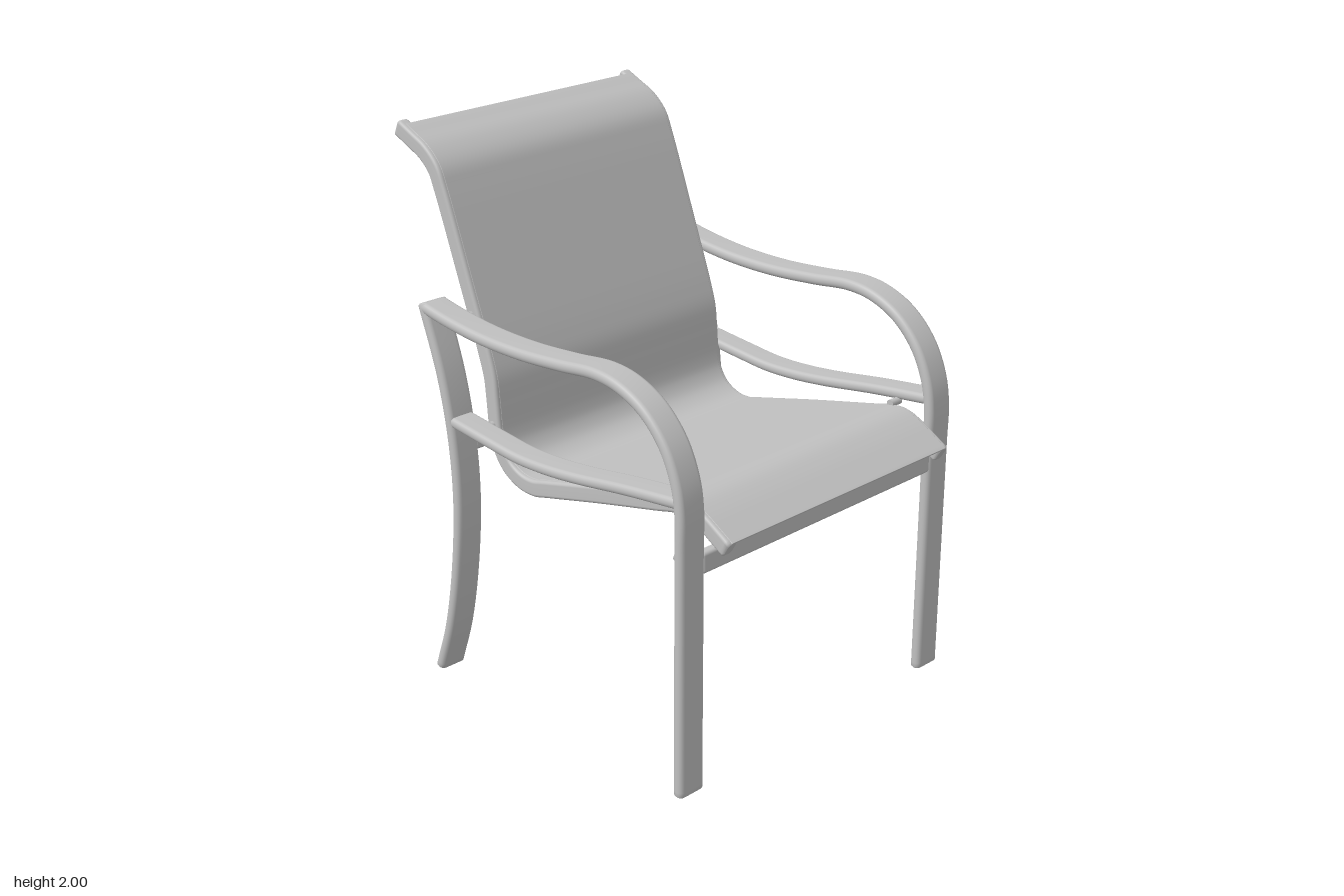
import * as THREE from 'three';
import { RoundedBoxGeometry } from 'three/addons/geometries/RoundedBoxGeometry.js';

// Smooth curve in the side plane from [z, y] points
const sideCurve = (pts) =>
  new THREE.CatmullRomCurve3(pts.map(([z, y]) => new THREE.Vector3(0, y, z)), false, 'centripetal');

// Rounded rectangle outline: width along x, thickness along the path normal
function section(width, thick, radius) {
  const ring = [];
  [[1, 1], [-1, 1], [-1, -1], [1, -1]].forEach(([sx, sn], corner) => {
    for (let k = 0; k <= 4; k++) {
      const a = (corner + k / 4) * Math.PI / 2;
      ring.push([
        sx * (width / 2 - radius) + radius * Math.cos(a),
        sn * (thick / 2 - radius) + radius * Math.sin(a),
      ]);
    }
  });
  return ring;
}

// Sweep a section along a side-plane curve, with slightly rounded closed ends
function sweep(curve, ring, { steps = 90, offset = 0, end = 1, bevel = 0.006 } = {}) {
  const pos = [], idx = [], n = ring.length;
  const addRing = (u, shift, scale) => {
    const p = curve.getPointAt(u), t = curve.getTangentAt(u);
    const ny = -t.z, nz = t.y;
    const maxX = Math.max(...ring.map((r) => r[0])), maxN = Math.max(...ring.map((r) => r[1]));
    for (const [x, m] of ring) {
      const sx = x * (1 - scale / maxX), sm = m * (1 - scale / maxN) + offset;
      pos.push(sx, p.y + ny * sm + t.y * shift, p.z + nz * sm + t.z * shift);
    }
  };
  addRing(0, 0, bevel);
  addRing(0, bevel, 0);
  for (let i = 1; i < steps; i++) addRing(end * i / steps, 0, 0);
  addRing(end, -bevel, 0);
  addRing(end, 0, bevel);
  const rings = pos.length / 3 / n;
  for (let i = 0; i < rings - 1; i++) {
    for (let j = 0; j < n; j++) {
      const a = i * n + j, b = i * n + (j + 1) % n;
      idx.push(a, a + n, b, b, a + n, b + n);
    }
  }
  // End caps with their own vertices
  addRing(0, 0, bevel);
  addRing(end, 0, bevel);
  for (let j = 1; j < n - 1; j++) {
    const s = rings * n, e = s + n;
    idx.push(s, s + j, s + j + 1, e, e + j + 1, e + j);
  }
  const g = new THREE.BufferGeometry();
  g.setAttribute('position', new THREE.Float32BufferAttribute(pos, 3));
  g.setIndex(idx);
  g.computeVertexNormals();
  return g;
}

export function createModel() {
  const chair = new THREE.Group();
  chair.name = 'slingArmchair';
  const grey = new THREE.MeshStandardMaterial({ color: 0xc0c0c0 });
  grey.name = 'light grey';

  const add = (name, geometry, x = 0, y = 0, z = 0) => {
    const mesh = new THREE.Mesh(geometry, grey);
    mesh.name = name;
    mesh.position.set(x, y, z);
    chair.add(mesh);
    return mesh;
  };

  // Side paths, each as [z, y]
  const railPath = sideCurve([
    [0.795, 0.915], [0.74, 0.947], [0.68, 0.98], [0.62, 1.002], [0.56, 0.998], [0.48, 0.978],
    [0.2, 0.91], [-0.06, 0.843], [-0.13, 0.826], [-0.2, 0.832], [-0.265, 0.866], [-0.305, 0.92],
    [-0.322, 0.98], [-0.332, 1.08], [-0.342, 1.17], [-0.366, 1.25], [-0.46, 1.5], [-0.574, 1.795],
    [-0.605, 1.86], [-0.66, 1.909], [-0.72, 1.937], [-0.797, 1.971],
  ]);
  const armPath = sideCurve([
    [0.7, 0.02], [0.7, 0.5], [0.7, 0.9], [0.7, 1.04], [0.682, 1.14], [0.63, 1.25], [0.54, 1.34],
    [0.43, 1.39], [0.32, 1.404], [0.15, 1.386], [-0.05, 1.37], [-0.25, 1.37], [-0.42, 1.385], [-0.55, 1.405],
  ]);
  const rearLegPath = sideCurve([
    [-0.547, 0.004], [-0.48, 0.2], [-0.43, 0.45], [-0.406, 0.72], [-0.42, 0.95], [-0.467, 1.18], [-0.553, 1.42],
  ]);
  const stretcherPath = sideCurve([
    [0.7, 1.077], [0.45, 1.045], [0.2, 1.006], [0.05, 0.99], [-0.08, 0.986], [-0.22, 0.997], [-0.43, 1.017],
  ]);

  const bar = section(0.11, 0.042, 0.018);
  const railGeo = sweep(railPath, section(0.045, 0.062, 0.012), { steps: 140 });
  const armGeo = sweep(armPath, bar, { steps: 110 });
  const legGeo = sweep(rearLegPath, bar, { steps: 60 });
  const stretcherGeo = sweep(stretcherPath, section(0.1, 0.038, 0.016), { steps: 50 });
  const spacerGeo = new THREE.CylinderGeometry(0.014, 0.014, 0.05, 16).rotateZ(Math.PI / 2);

  // Mirrored side frames
  for (const [side, s] of [['left', 1], ['right', -1]]) {
    add(side + 'SlingRail', railGeo, s * 0.523);
    add(side + 'ArmAndFrontLeg', armGeo, s * 0.609);
    add(side + 'RearLeg', legGeo, s * 0.609);
    add(side + 'Stretcher', stretcherGeo, s * 0.609);
    // Fixings between sling rail and side frame
    add(side + 'UpperSpacer', spacerGeo, s * 0.55, 1.383, -0.42);
    add(side + 'LowerSpacer', spacerGeo, s * 0.55, 1.004, -0.325);
    add(side + 'FrontSpacer', spacerGeo, s * 0.55, 1.035, 0.56);
  }

  // One-piece fabric sling along the tops of the rails
  add('sling', sweep(railPath, section(1.06, 0.008, 0.003), { steps: 140, offset: 0.028, end: 0.988, bevel: 0.001 }));

  // Cross members of the frame
  add('frontCrossbar', new RoundedBoxGeometry(1.13, 0.076, 0.038, 3, 0.012), 0, 0.848, 0.7);
  add('rearCrossbar', new RoundedBoxGeometry(1.13, 0.07, 0.038, 3, 0.012), 0, 0.925, -0.419);

  // Spreader tubes behind the sling
  const tube = new THREE.CylinderGeometry(0.017, 0.017, 1.02, 20).rotateZ(Math.PI / 2);
  add('topSpreader', tube, 0, 1.925, -0.72);
  add('seatSpreader', tube, 0, 0.828, -0.14);

  return chair;
}
